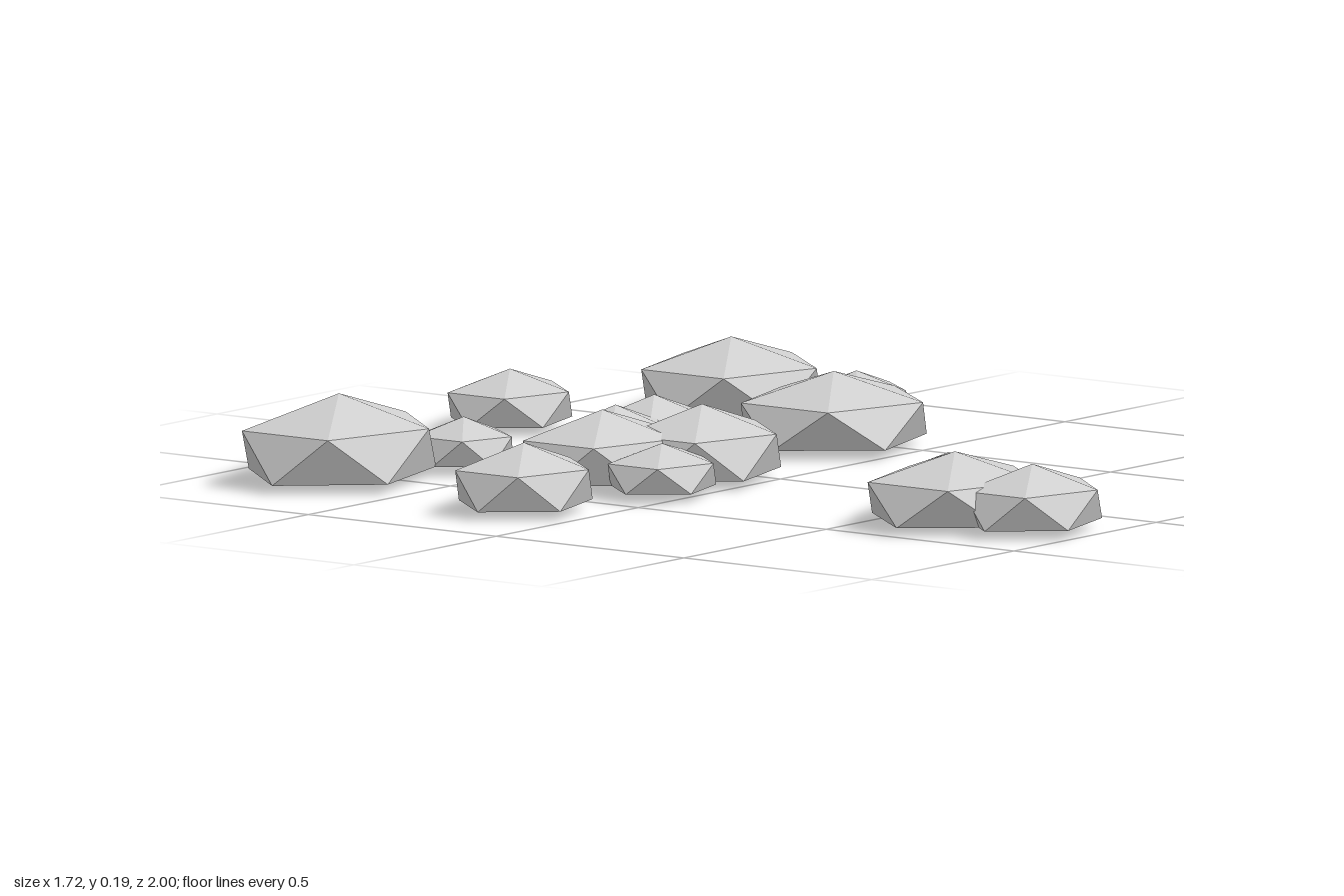
import * as THREE from 'three';

// each rock: [xMin, xMax, zMin, zMax, top height]
const ROCKS = [
  [-0.83, -0.36, -0.91, -0.54, 0.2],
  [-0.415, -0.195, -0.715, -0.51, 0.125],
  [0.06, 0.355, -1.0, -0.755, 0.14],
  [0.43, 0.855, -0.795, -0.44, 0.18],
  [0.65, 0.855, -0.655, -0.485, 0.1],
  [0.595, 0.825, -0.44, -0.23, 0.125],
  [0.2, 0.63, -0.36, 0.015, 0.175],
  [-0.025, 0.24, -0.53, -0.305, 0.14],
  [-0.25, 0.035, -0.475, -0.24, 0.15],
  [-0.485, -0.1, -0.405, -0.1, 0.172],
  [-0.305, 0.07, -0.275, 0.035, 0.175],
  [-0.475, -0.22, -0.16, 0.055, 0.125],
  [-0.86, -0.535, -0.29, 0.02 - 0.04, 0.16],
  [-0.695, -0.49, -0.34, -0.17, 0.11],
  [-0.35, -0.045, 0.465, 0.73, 0.148],
  [-0.5, -0.09, 0.515, 0.86, 0.17],
  [-0.425, -0.09, 0.73, 1.0, 0.155],
].map((r) => r);

// Flattened twenty-faced stone: apex, two staggered rings of five, shallow underside
function rockGeometry(rx, rz, top) {
  const ringY = 0.03;
  const shoulderY = ringY + (top - ringY) * 0.6;
  const bottomY = Math.max(0, ringY - (rx - 0.07) * 0.12);
  const point = (step, y) => {
    const a = (step * Math.PI) / 5;
    return [Math.cos(a) * rx, y, Math.sin(a) * rz];
  };
  const positions = [];
  const face = (...corners) => corners.forEach((c) => positions.push(...c));
  for (let i = 0; i < 5; i++) {
    const u0 = point(2 * i, shoulderY), u1 = point(2 * i + 2, shoulderY);
    const l0 = point(2 * i + 1, ringY), l1 = point(2 * i + 3, ringY);
    face([0, top, 0], u1, u0);
    face(u0, u1, l0);
    face(u1, l1, l0);
    face([0, bottomY, 0], l0, l1);
  }
  const geometry = new THREE.BufferGeometry();
  geometry.setAttribute('position', new THREE.Float32BufferAttribute(positions, 3));
  geometry.computeVertexNormals();
  return geometry;
}

export function createModel() {
  const group = new THREE.Group();
  group.name = 'scatteredRocks';
  const stone = new THREE.MeshStandardMaterial({ color: 0xcfcfcf, flatShading: true });
  stone.name = 'greyStone';

  ROCKS.forEach(([x0, x1, z0, z1, top], i) => {
    // the ring of five reaches 0.951 of its radius along z
    const rx = (x1 - x0) / 2, rz = (z1 - z0) / 2 / 0.951;
    const rock = new THREE.Mesh(rockGeometry(rx, rz, top), stone);
    rock.name = `rock${i + 1}`;
    rock.position.set((x0 + x1) / 2, 0, (z0 + z1) / 2);
    group.add(rock);
  });
  return group;
}
